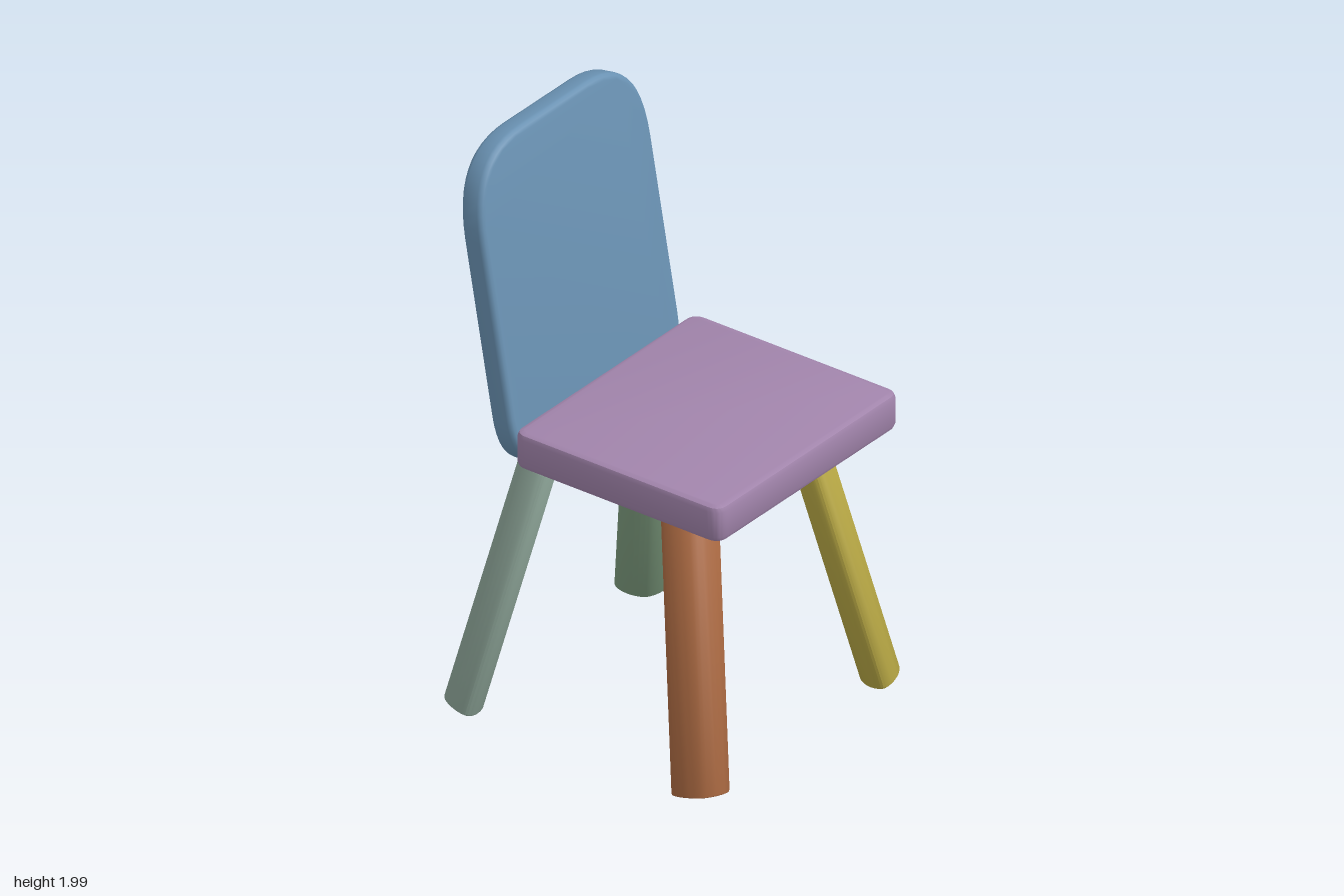
import * as THREE from 'three';
import { toCreasedNormals } from 'three/addons/utils/BufferGeometryUtils.js';

const V = (x, y, z) => new THREE.Vector3(x, y, z);

function part(name, geometry, color) {
  const mesh = new THREE.Mesh(geometry, new THREE.MeshStandardMaterial({ color }));
  mesh.name = name;
  return mesh;
}

// Upright rounded panel outline; top and bottom corners are [width, height]
function panelShape(w, h, top, bottom) {
  const x = w / 2, y = h / 2;
  const s = new THREE.Shape();
  s.moveTo(-x + bottom[0], -y);
  s.lineTo(x - bottom[0], -y);
  s.quadraticCurveTo(x, -y, x, -y + bottom[1]);
  s.lineTo(x, y - top[1]);
  s.quadraticCurveTo(x, y, x - top[0], y);
  s.lineTo(-x + top[0], y);
  s.quadraticCurveTo(-x, y, -x, y - top[1]);
  s.lineTo(-x, -y + bottom[1]);
  s.quadraticCurveTo(-x, -y, -x + bottom[0], -y);
  return s;
}

// Bevelled slab of the given thickness, centred on z = 0
function slab(shape, thickness, bevel, segments = 3) {
  const depth = thickness - 2 * bevel;
  const g = new THREE.ExtrudeGeometry(shape, {
    depth, curveSegments: 12, bevelEnabled: true, bevelSize: bevel,
    bevelThickness: bevel, bevelOffset: -bevel, bevelSegments: segments,
  });
  g.translate(0, 0, -depth / 2);
  return toCreasedNormals(g, 0.6);
}

// Rounded diamond section of a leg, wide across the corner of the chair
function legShape() {
  const pts = [];
  const pow = (v) => Math.sign(v) * Math.abs(v) ** 1.25;
  for (let i = 0; i < 32; i++) {
    const a = (i / 32) * Math.PI * 2;
    pts.push(new THREE.Vector2(0.093 * pow(Math.cos(a)), 0.065 * pow(Math.sin(a))));
  }
  return new THREE.Shape(pts);
}

// Splayed leg between a foot and a top point
function leg(name, foot, top, color) {
  const axis = top.clone().sub(foot);
  const length = axis.length();
  axis.normalize();
  const across = V(0, 1, 0).cross(axis).normalize();
  const out = axis.clone().cross(across);
  const g = slab(legShape(), length, 0.008, 2);
  g.applyMatrix4(new THREE.Matrix4().makeBasis(across, out, axis));
  g.translate(...foot.clone().add(top).multiplyScalar(0.5).toArray());
  return part(name, g, color);
}

// Rail with softened edges running between two points
function rail(name, a, b, height, depth, color) {
  const r = [0.015, 0.015];
  const mesh = part(name, slab(panelShape(depth, height, r, r), a.distanceTo(b), 0.006, 1), color);
  mesh.position.copy(a).add(b).multiplyScalar(0.5);
  mesh.lookAt(b);
  return mesh;
}

export function createModel() {
  const chair = new THREE.Group();
  chair.name = 'chair';

  // Seat
  const corner = [0.05, 0.05];
  const seat = part('seat', slab(panelShape(0.95, 0.825, corner, corner), 0.13, 0.02, 2), 0xa184ab);
  seat.rotation.x = -Math.PI / 2;
  seat.position.set(0, 1.02, 0.1375);
  chair.add(seat);

  // Reclined backrest
  const back = part('backrest', slab(panelShape(0.88, 1.12, [0.27, 0.3], [0.2, 0.2]), 0.087, 0.02), 0x6a92b3);
  back.rotation.x = -0.175;
  back.position.set(0, 1.44, -0.41);
  chair.add(back);

  // Legs
  const legs = [
    ['frontLeftLeg', 1, 1, 0xb9a945], ['frontRightLeg', -1, 1, 0xad6b43],
    ['backLeftLeg', 1, -1, 0x7f9e80], ['backRightLeg', -1, -1, 0x8fa79a],
  ];
  for (const [name, sx, sz, color] of legs) {
    const topY = sz > 0 ? 0.965 : 0.89;
    const top = sz > 0 ? 0.29 : 0.3;
    chair.add(leg(name, V(sx * 0.47, 0.017, sz * 0.473), V(sx * top, topY, sz * top), color));
  }

  // Rails under the seat
  chair.add(rail('frontRail', V(-0.28, 0.91, 0.33), V(0.28, 0.91, 0.33), 0.095, 0.1, 0xa0a57f));
  chair.add(rail('leftRail', V(0.29, 0.914, -0.26), V(0.29, 0.914, 0.28), 0.085, 0.09, 0x20a02a));
  chair.add(rail('rightRail', V(-0.29, 0.89, -0.28), V(-0.29, 0.93, 0.28), 0.075, 0.09, 0x86b58c));

  return chair;
}
